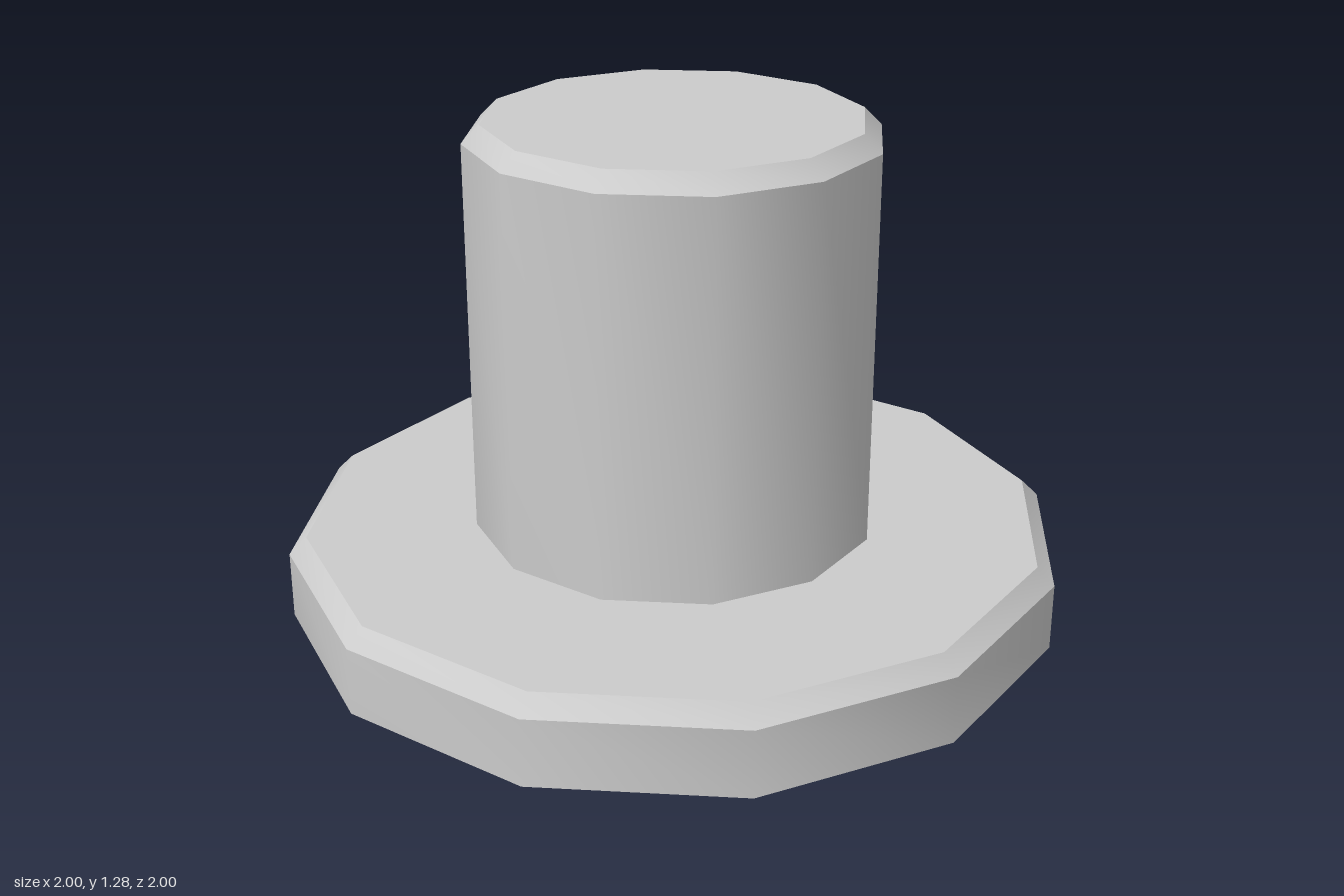
import * as THREE from 'three';
import { toCreasedNormals } from 'three/addons/utils/BufferGeometryUtils.js';

const SIDES = 12;
const OUTER = 0.52;      // crown radius
const INNER = 0.475;     // radius of the hollow
const BRIM_TOP = 0.22;
const HEIGHT = 1.28;
const BEVEL = 0.045;

// Turned part: smooth around the sides, sharp at the bevels
function turned(name, profile, material) {
  const points = profile.map(([r, y]) => new THREE.Vector2(r, y));
  const geometry = toCreasedNormals(new THREE.LatheGeometry(points, SIDES), 0.62);
  const mesh = new THREE.Mesh(geometry, material);
  mesh.name = name;
  return mesh;
}

export function createModel() {
  const model = new THREE.Group();
  model.name = 'topHat';
  const material = new THREE.MeshStandardMaterial({ color: 0xcccccc });

  // Flat brim with a bevelled upper rim and an opening underneath
  model.add(turned('brim', [
    [INNER, BRIM_TOP], [INNER, 0], [1, 0], [1, BRIM_TOP - BEVEL],
    [1 - BEVEL, BRIM_TOP], [OUTER, BRIM_TOP],
  ], material));

  // Hollow crown: inner ceiling and wall, then outer wall, bevel and top
  model.add(turned('crown', [
    [0, HEIGHT - BEVEL], [INNER, HEIGHT - BEVEL], [INNER, BRIM_TOP],
    [OUTER, BRIM_TOP], [OUTER, HEIGHT - BEVEL],
    [OUTER - BEVEL, HEIGHT], [0, HEIGHT],
  ], material));

  return model;
}
